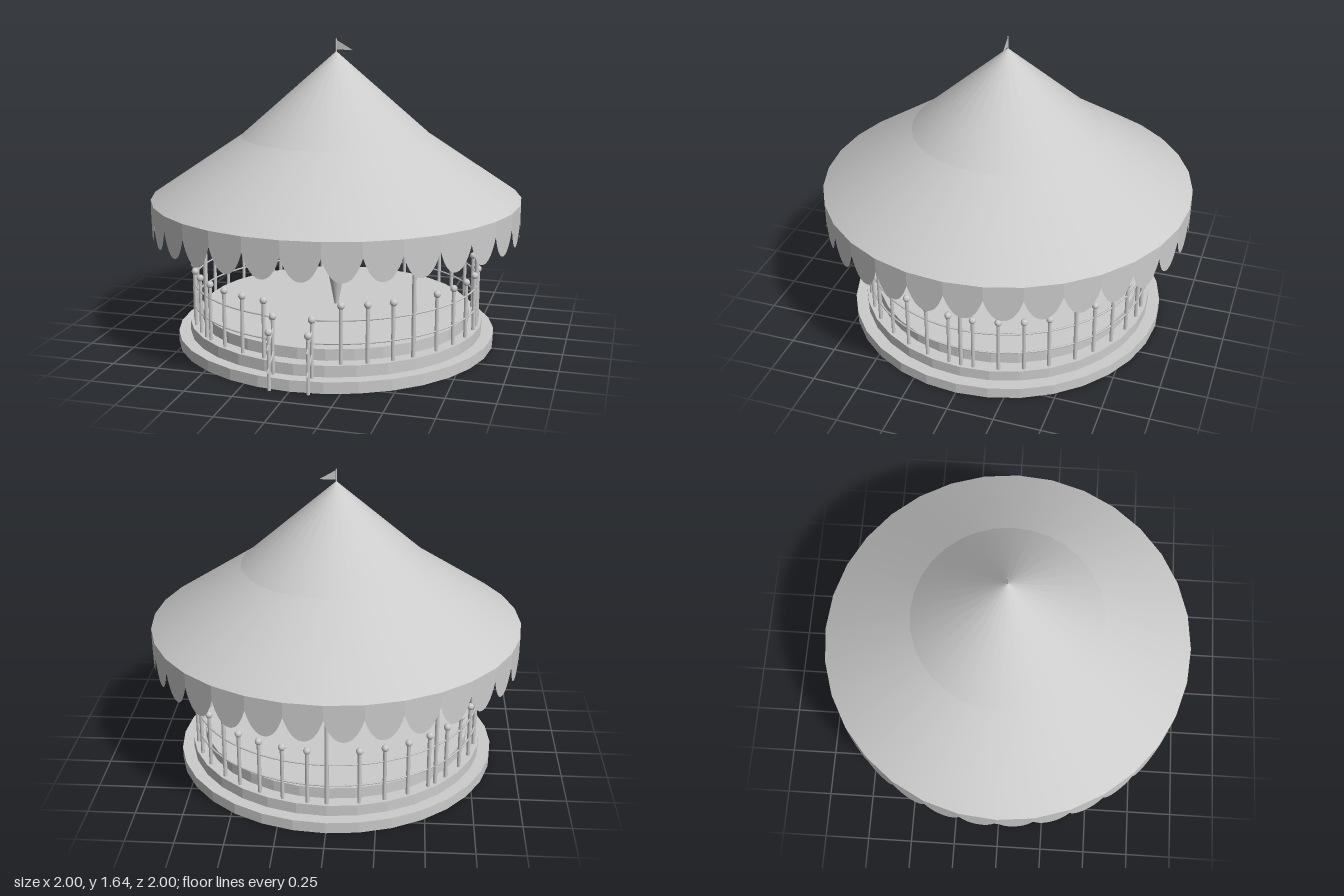
import * as THREE from 'three';

const SIDES = 32;
const R = 0.78; // radius of the fence and poles

export function createModel() {
  const root = new THREE.Group();
  const smooth = new THREE.MeshStandardMaterial({ color: 0xcccccc });
  const flat = new THREE.MeshStandardMaterial({ color: 0xcccccc, flatShading: true });
  const thin = new THREE.MeshStandardMaterial({ color: 0xcccccc, side: THREE.DoubleSide });

  const add = (name, geometry, material, parent = root) => {
    const mesh = new THREE.Mesh(geometry, material);
    mesh.name = name;
    parent.add(mesh);
    return mesh;
  };
  const group = (name) => {
    const g = new THREE.Group();
    g.name = name;
    root.add(g);
    return g;
  };
  // Upright round part between two heights
  const column = (name, rTop, rBottom, y0, y1, sides, material, parent, x = 0, z = 0, open = false) => {
    const mesh = add(name, new THREE.CylinderGeometry(rTop, rBottom, y1 - y0, sides, 1, open), material, parent);
    mesh.position.set(x, (y0 + y1) / 2, z);
    return mesh;
  };
  const ballGeometry = new THREE.SphereGeometry(0.019, 12, 8);
  const ballPost = (parent, x, z, y0, y1, r) => {
    column('post', r, r, y0, y1, 8, smooth, parent, x, z);
    add('postBall', ballGeometry, smooth, parent).position.set(x, y1, z);
  };

  // Stepped round platform
  const platform = group('platform');
  [0.87, 0.805, 0.735].forEach((r, i) =>
    column('platformStep', r, r, i * 0.06, (i + 1) * 0.06, SIDES, flat, platform));

  // Roof in two slopes, with a flat ceiling
  const roof = group('roof');
  column('lowerRoof', 0.51, 1, 0.8, 1.13, SIDES, thin, roof, 0, 0, true);
  column('upperRoof', 0, 0.51, 1.13, 1.58, SIDES, thin, roof, 0, 0, true);
  const ceiling = add('ceiling', new THREE.CircleGeometry(0.995, SIDES), thin, roof);
  ceiling.rotation.set(Math.PI / 2, 0, Math.PI / 2);
  ceiling.position.y = 0.72;

  // Scalloped valance, one panel per roof side
  const valance = group('valance');
  const w = Math.sin(Math.PI / SIDES);
  const scallop = new THREE.Shape();
  scallop.moveTo(-w, 0.8);
  scallop.lineTo(-w, 0.72);
  scallop.quadraticCurveTo(-0.06, 0.6, 0, 0.6);
  scallop.quadraticCurveTo(0.06, 0.6, w, 0.72);
  scallop.lineTo(w, 0.8);
  const scallopGeometry = new THREE.ShapeGeometry(scallop, 8);
  scallopGeometry.translate(0, 0, Math.cos(Math.PI / SIDES));
  for (let i = 0; i < SIDES; i++) {
    add('scallop', scallopGeometry, thin, valance).rotation.y = ((i + 0.5) * 2 * Math.PI) / SIDES;
  }

  // Flag
  const flag = group('flag');
  column('flagpole', 0.003, 0.003, 1.56, 1.645, 8, smooth, flag);
  const pennant = new THREE.Shape([
    new THREE.Vector2(0, 1.64), new THREE.Vector2(0, 1.588), new THREE.Vector2(0.09, 1.588)]);
  add('pennant', new THREE.ShapeGeometry(pennant), thin, flag);

  // Tapered centre column and its collar
  const centre = group('centreColumn');
  column('taper', 0.1, 0.01, 0.18, 0.65, SIDES, smooth, centre);
  column('collar', 0.12, 0.12, 0.65, 0.72, SIDES, smooth, centre);

  // Roof poles every 45 degrees, leaving the entrance free
  const poles = group('roofPoles');
  for (let i = 1; i < 8; i++) {
    const a = (i * Math.PI) / 4;
    column('roofPole', 0.011, 0.011, 0.12, 0.72, 10, smooth, poles, R * Math.sin(a), R * Math.cos(a));
  }

  // Fence posts, skipped at the entrance and wherever a roof pole stands
  const fence = group('fence');
  const COUNT = 37;
  const skipped = [0, 9, 14, 23, 27, 28];
  for (let k = 0; k < COUNT; k++) {
    if (skipped.includes(k)) continue;
    const a = -Math.PI / 2 - (k * 2 * Math.PI) / COUNT;
    ballPost(fence, R * Math.sin(a), R * Math.cos(a), 0.12, 0.42, 0.01);
  }

  // Fence rails, open at the entrance
  const start = THREE.MathUtils.degToRad(7.3);
  const end = THREE.MathUtils.degToRad(360 - 12.2);
  for (const y of [0.225, 0.345]) {
    const points = [];
    for (let i = 0; i <= 64; i++) {
      const a = start + ((end - start) * i) / 64;
      points.push(new THREE.Vector3(R * Math.sin(a), y, R * Math.cos(a)));
    }
    add('fenceRail', new THREE.TubeGeometry(new THREE.CatmullRomCurve3(points), 128, 0.005, 6), smooth, fence);
  }

  // Entrance handrails running down the steps
  const handrails = group('entranceHandrails');
  for (const side of [-1, 1]) {
    const x = side * 0.1;
    ballPost(handrails, x, 0.88, 0, 0.3, 0.009);
    ballPost(handrails, x, 0.815, 0.06, 0.36, 0.009);
    const startX = side < 0 ? -0.165 : 0.1;
    for (const drop of [0, 0.12]) {
      const path = new THREE.CatmullRomCurve3([
        new THREE.Vector3(startX, 0.345 - drop, 0.765),
        new THREE.Vector3((startX + x) / 2, 0.342 - drop, 0.775),
        new THREE.Vector3(x, 0.305 - drop, 0.815),
        new THREE.Vector3(x, 0.24 - drop, 0.88),
        new THREE.Vector3(x, 0.215 - drop, 0.905)]);
      add('handrail', new THREE.TubeGeometry(path, 20, 0.005, 6), smooth, handrails);
    }
  }

  return root;
}
